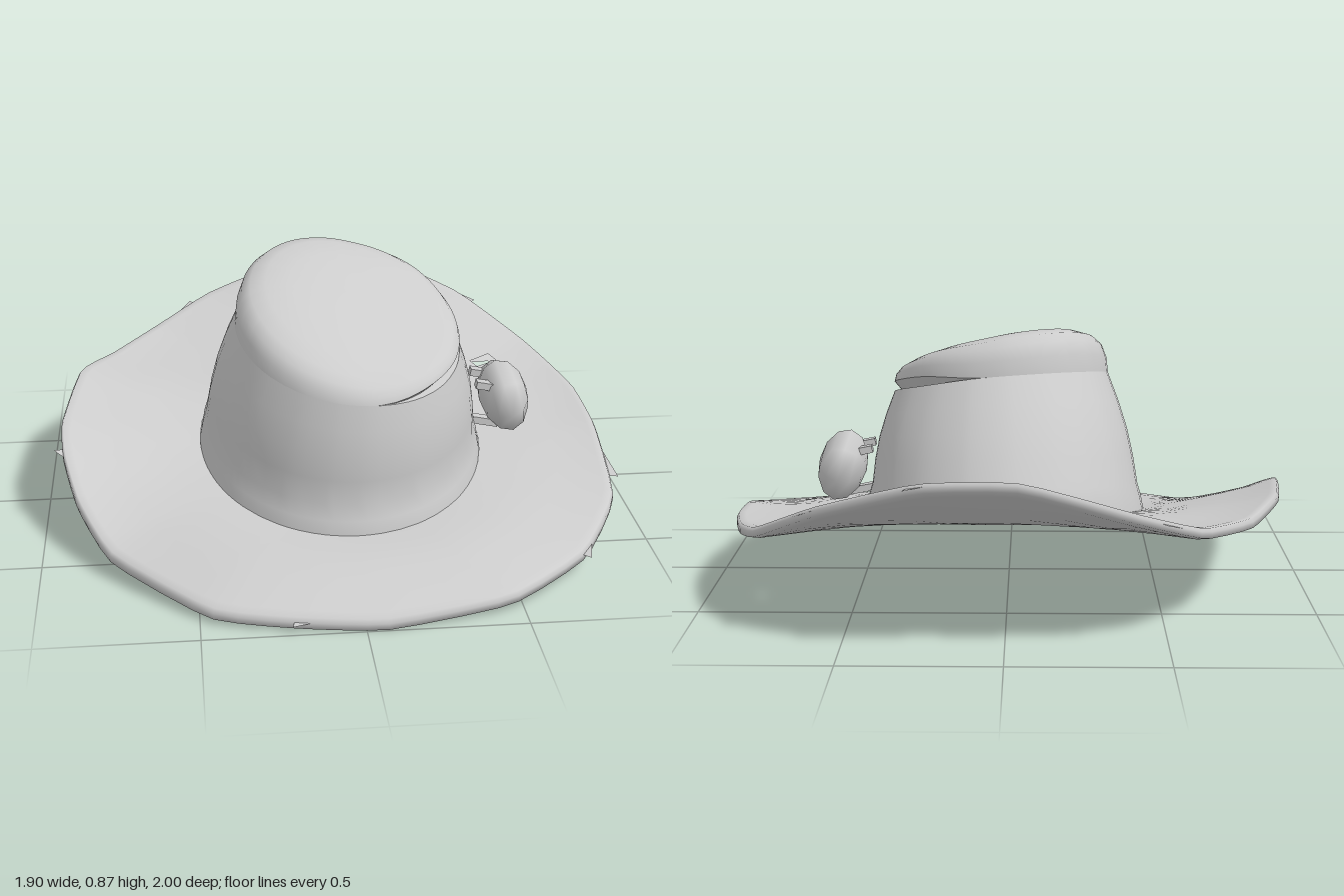
import * as THREE from 'three';

const N = 76;

// Brim outline, counter-clockwise from the front: x, y, z
const edgeCurve = new THREE.CatmullRomCurve3([
  [0.07, 0.022, 0.995], [0.46, 0.045, 0.92], [0.74, 0.07, 0.7], [0.9, 0.13, 0.42], [0.925, 0.22, 0.05],
  [0.915, 0.248, -0.22], [0.87, 0.265, -0.42], [0.79, 0.305, -0.61], [0.57, 0.43, -0.83], [0.25, 0.54, -0.985],
  [-0.05, 0.54, -0.975], [-0.4, 0.43, -0.91], [-0.61, 0.35, -0.77], [-0.78, 0.325, -0.55], [-0.89, 0.35, -0.32],
  [-0.94, 0.315, 0.05], [-0.93, 0.265, 0.22], [-0.88, 0.175, 0.4], [-0.77, 0.08, 0.6], [-0.47, 0.04, 0.905],
  [-0.2, 0.03, 0.975],
].map((p) => new THREE.Vector3(...p)), true, 'catmullrom', 0.25);

const edge = Array.from({ length: N }, (_, i) => edgeCurve.getPoint(i / N));
const angles = edge.map((p) => Math.atan2(p.x, p.z));

// Joins closed rings of N points; keep() may leave faces out to cut a hole
function loft(rings, keep = () => true) {
  const pts = rings.flat();
  const index = [];
  const add = (a, b, c) => {
    const mid = new THREE.Vector3().add(pts[a]).add(pts[b]).add(pts[c]).divideScalar(3);
    if (keep(mid)) index.push(a, b, c);
  };
  for (let j = 0; j < rings.length - 1; j++) {
    for (let i = 0; i < N; i++) {
      const k = (i + 1) % N;
      const a = j * N + i, b = j * N + k, c = a + N, d = b + N;
      add(a, b, c);
      add(b, d, c);
    }
  }
  const geometry = new THREE.BufferGeometry().setFromPoints(pts);
  geometry.setIndex(index);
  geometry.computeVertexNormals();
  return geometry;
}

// Ellipse ring whose height follows a rule of x and z
function ring(cx, cz, rx, rz, height, scale = () => 1) {
  return angles.map((a) => {
    const s = scale(a);
    const x = cx + rx * s * Math.sin(a), z = cz + rz * s * Math.cos(a);
    return new THREE.Vector3(x, height(x, z, a), z);
  });
}

const baseHeight = (x, z) => 0.222 - 0.185 * z + 0.04 * z * z;
const topHeight = (x, z) => 0.65 - 0.21 * (z - 0.14) - 0.08 * (x - 0.03);
const base = ring(0.015, 0.035, 0.485, 0.585, baseHeight);

// Ring part of the way from the crown to the brim edge; the front stays flat, then dips
function brimRing(t, drop) {
  return base.map((b, i) => {
    const p = b.clone().lerp(edge[i], t);
    const power = 1.25 + 1.2 * Math.max(0, Math.cos(angles[i]));
    p.y = THREE.MathUtils.lerp(b.y, edge[i].y, t ** power) - drop;
    return p;
  });
}

export function createModel() {
  const hat = new THREE.Group();
  hat.name = 'hat';
  const felt = new THREE.MeshStandardMaterial({ color: 0xcccccc, side: THREE.DoubleSide });
  felt.name = 'grey felt';
  const add = (name, geometry, parent = hat) => {
    const mesh = new THREE.Mesh(geometry, felt);
    mesh.name = name;
    parent.add(mesh);
    return mesh;
  };

  // Brim: shallow hollow, underside outwards, rolled rim, upper side inwards, with a small torn hole
  const hollow = [0, 0.2, 0.4, 0.6, 0.75, 0.88].map((s) => ring(0.015, 0.035, 0.485 * s, 0.585 * s,
    (x, z) => baseHeight(x, z) - 0.025 + 0.19 * (1 - s * s)));
  const under = [0, 0.2, 0.4, 0.6, 0.8, 0.95].map((t) => brimRing(t, 0.025));
  const upper = [0.985, 0.93, 0.8, 0.6, 0.4, 0.2, 0].map((t) => brimRing(t, t > 0.9 ? -0.012 : -0.005));
  add('brim', loft([...hollow, ...under, brimRing(1, 0.02), brimRing(1, 0), ...upper],
    (m) => Math.abs(m.x - 0.605 - 0.5 * (m.z + 0.45)) / 0.03 + Math.abs(m.z + 0.45) / 0.05 > 1));

  // Crown side: flared foot, sloping wall, and a fold tucked in on the left
  const fold = (a) => THREE.MathUtils.smoothstep(Math.sin(a), 0.1, 0.8);
  const wall = [0, 0.25, 0.5, 0.75, 1].map((t) => {
    const mix = (a, b) => THREE.MathUtils.lerp(a, b, t);
    return angles.map((a) => {
      const bulge = 0.015 * Math.sin(Math.PI * t);
      const lx = 0.015 + 0.462 * Math.sin(a), lz = 0.035 + 0.555 * Math.cos(a);
      const ux = 0.03 + 0.375 * Math.sin(a), uz = 0.14 + 0.435 * Math.cos(a);
      return new THREE.Vector3(
        mix(lx, ux) + bulge * Math.sin(a),
        mix(baseHeight(lx, lz) + 0.095, topHeight(ux, uz) - 0.008 * fold(a)),
        mix(lz, uz) + bulge * Math.cos(a));
    });
  });
  const foot = ring(0.015, 0.035, 0.475, 0.577, (x, z) => baseHeight(x, z) + 0.05);
  add('crownWall', loft([base, foot, ...wall]));
  const tuck = ring(0.03, 0.14, 0.375, 0.435, (x, z, a) => topHeight(x, z) - 0.008 * fold(a),
    (a) => 1 - 0.07 * fold(a));
  const lip = ring(0.03, 0.14, 0.375, 0.435, (x, z, a) => topHeight(x, z) + 0.026 * fold(a));
  add('crownFold', loft([wall[4], tuck]));
  add('crownOverhang', loft([tuck, lip]));

  // Crown top: a lopsided dome, highest towards the back right
  const dome = [[0.985, 0.045], [0.94, 0.085], [0.86, 0.112], [0.72, 0.134], [0.5, 0.15], [0.25, 0.158], [0, 0.16]]
    .map(([s, h]) => ring(0.03, 0.14, 0.375 * s, 0.435 * s, (x, z, a) => topHeight(x, z)
      + 0.026 * fold(a) * s ** 4
      + h * Math.max(0.4, 0.83 - 0.75 * (z - 0.14) - 0.9 * (x - 0.03))));
  add('crownTop', loft([lip, ...dome]));

  // Torn points along the brim edge
  const tears = [[-0.2, 0.98], [0.74, 0.69], [0.93, 0.33], [-0.94, 0.2], [-0.5, -0.87], [0.26, -0.97], [0.64, -0.77]];
  tears.forEach(([x, z]) => {
    const a = Math.atan2(x, z);
    const near = (b) => Math.abs(Math.atan2(Math.sin(a - b), Math.cos(a - b)));
    const i = angles.reduce((best, b, k) => (near(b) < near(angles[best]) ? k : best), 0);
    const p = edge[i], q = edge[(i + 1) % N];
    const tip = p.clone().multiply(new THREE.Vector3(1.03, 1, 1.03));
    tip.z = THREE.MathUtils.clamp(tip.z, -1, 1);
    const geometry = new THREE.BufferGeometry().setFromPoints([p, q, tip]);
    geometry.computeVertexNormals();
    add('brimTear', geometry);
  });

  // Faceted ornament pinned to the left of the crown
  const ornament = new THREE.Group();
  ornament.name = 'ornament';
  ornament.position.set(0.585, 0.365, 0.06);
  hat.add(ornament);
  const knob = new THREE.SphereGeometry(1, 7, 6);
  knob.rotateZ(-Math.PI / 2);
  knob.scale(0.085, 0.128, 0.155);
  knob.rotateZ(0.25);
  add('ornamentKnob', knob, ornament);
  [[0.06, -0.05], [0.06, 0.07], [-0.09, 0.02]].forEach(([y, z]) => {
    const prong = add('ornamentProng', new THREE.BoxGeometry(0.09, 0.025, 0.035), ornament);
    prong.position.set(-0.065, y, z);
    prong.rotation.z = -0.2;
  });

  return hat;
}
